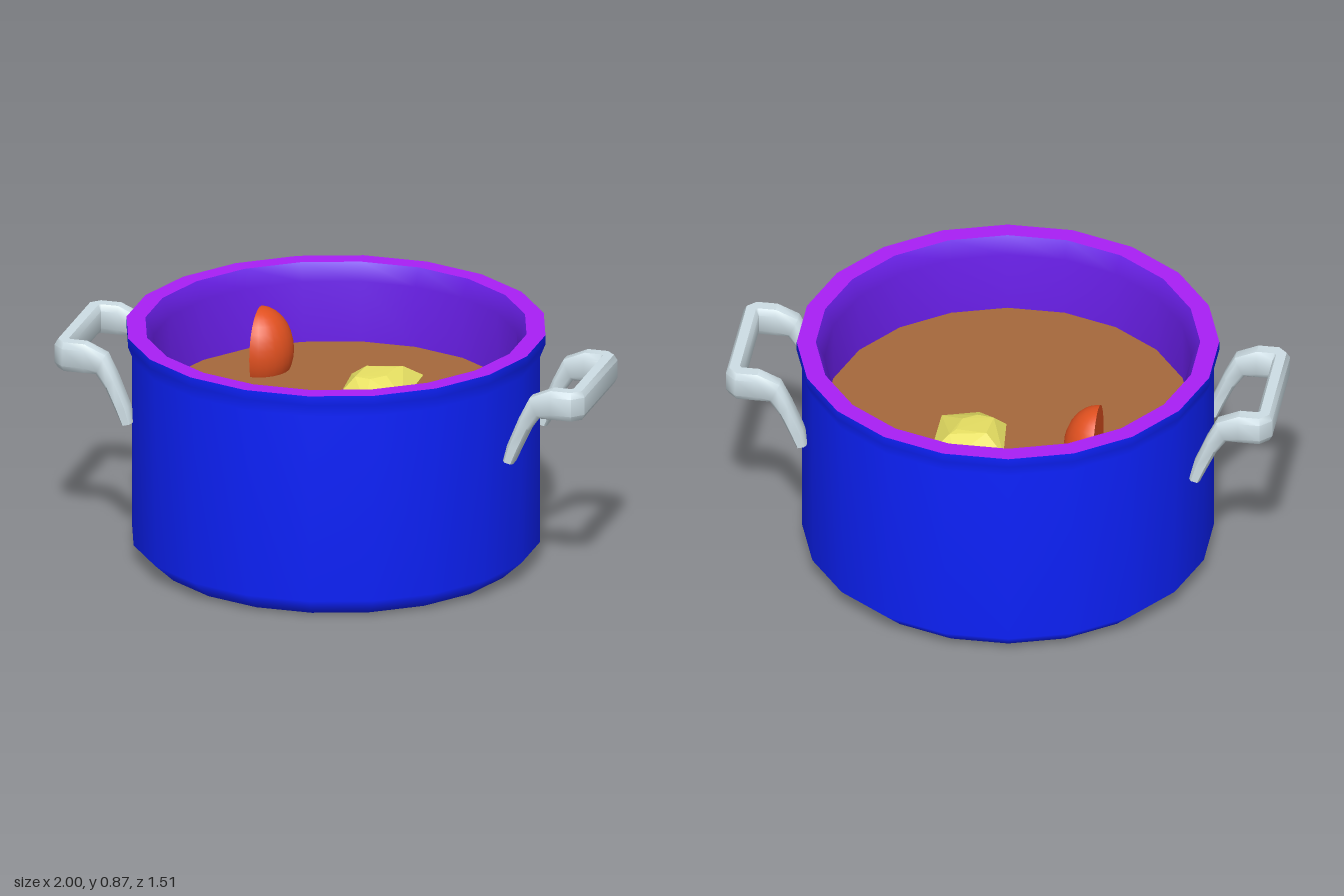
import * as THREE from 'three';
import { toCreasedNormals } from 'three/addons/utils/BufferGeometryUtils.js';
import { ConvexGeometry } from 'three/addons/geometries/ConvexGeometry.js';

const SIDES = 20;

function mesh(name, geometry, color, options = {}) {
  const m = new THREE.Mesh(geometry, new THREE.MeshStandardMaterial({ color, ...options }));
  m.name = name;
  return m;
}

// Turned shape with a flat side towards each axis
function turned(profile) {
  return new THREE.LatheGeometry(profile.map(p => new THREE.Vector2(...p)), SIDES, Math.PI / SIDES);
}

// Loft of bevelled rectangles along the U-shaped grip
function handleGeometry() {
  // One arm from the wall outwards: upper x, y and lower x, y
  const arm = [
    [0.70, 0.50, 0.738, 0.49], [0.715, 0.56, 0.765, 0.55], [0.76, 0.67, 0.80, 0.625],
    [0.80, 0.75, 0.835, 0.675], [0.88, 0.785, 0.88, 0.675],
  ].map(([ux, uy, lx, ly]) => ({
    c: new THREE.Vector3((ux + lx) / 2, (uy + ly) / 2, 0.215),
    a: new THREE.Vector3(0, 0, 0.035),
    u: new THREE.Vector3((ux - lx) / 2, (uy - ly) / 2, 0),
  }));
  // Cut corner: outer x, z around one inner point
  for (const [x, z] of [[0.96, 0.25], [1, 0.21]]) {
    arm.push({
      c: new THREE.Vector3((x + 0.94) / 2, 0.73, (z + 0.18) / 2),
      a: new THREE.Vector3((x - 0.94) / 2, 0, (z - 0.18) / 2),
      u: new THREE.Vector3(0, 0.055, 0),
    });
  }
  const flip = new THREE.Vector3(1, 1, -1);
  const mirrored = arm.map(s => ({
    c: s.c.clone().multiply(flip), a: s.a.clone().multiply(flip), u: s.u,
  })).reverse();
  const sections = [...arm, ...mirrored];

  const outline = [[1, -0.6], [1, 0.6], [0.6, 1], [-0.6, 1], [-1, 0.6], [-1, -0.6], [-0.6, -1], [0.6, -1]];
  const n = outline.length, last = sections.length - 1;
  const pos = [], index = [];
  for (const { c, a, u } of sections) {
    for (const [p, q] of outline) {
      pos.push(...c.clone().addScaledVector(a, p).addScaledVector(u, q).toArray());
    }
  }
  for (let i = 0; i < last; i++) {
    for (let j = 0; j < n; j++) {
      const k = (j + 1) % n, r = i * n, s = r + n;
      index.push(r + j, s + j, r + k, s + j, s + k, r + k);
    }
  }
  // End caps
  for (let j = 1; j < n - 1; j++) {
    index.push(0, j, j + 1, last * n, last * n + j + 1, last * n + j);
  }
  const g = new THREE.BufferGeometry();
  g.setAttribute('position', new THREE.Float32BufferAttribute(pos, 3));
  g.setIndex(index);
  return toCreasedNormals(g, 0.9);
}

export function createModel() {
  const model = new THREE.Group();
  model.name = 'cookingPot';

  // Pot shell: outside, lip and lining
  model.add(mesh('potBody', turned([
    [0, 0], [0.668, 0], [0.744, 0.07], [0.744, 0.78], [0.764, 0.83], [0.764, 0.865],
  ]), 0x0d22ff));
  model.add(mesh('rim', turned([[0.764, 0.865], [0.695, 0.865]]), 0xa81ff5));
  model.add(mesh('lining', turned([[0.695, 0.865], [0.664, 0.8], [0.664, 0.56]]), 0x6a1fea));

  // Soup surface
  const soup = new THREE.CircleGeometry(0.664, SIDES, Math.PI / SIDES).rotateX(-Math.PI / 2);
  soup.translate(0, 0.57, 0);
  model.add(mesh('soup', soup, 0xa5683c));

  // Two side handles
  const grip = handleGeometry();
  for (const side of ['left', 'right']) {
    const handle = mesh(side + 'Handle', grip, 0xcddde4);
    if (side === 'right') handle.rotation.y = Math.PI;
    model.add(handle);
  }

  // Carrot piece: half an ellipsoid with a flat cut
  const carrot = new THREE.Group();
  carrot.name = 'carrotPiece';
  carrot.add(mesh('carrotDome', new THREE.SphereGeometry(1, 12, 16, Math.PI / 2, Math.PI), 0xe0501f));
  carrot.add(mesh('carrotCut', new THREE.CircleGeometry(1, 32).rotateY(-Math.PI / 2), 0xe0501f));
  carrot.scale.set(0.125, 0.16, 0.13);
  carrot.position.set(-0.375, 0.64, -0.29);
  model.add(carrot);

  // Potato chunk: faceted lump sunk in the soup
  const chunk = [
    [-0.03, 0.575, -0.3], [0.14, 0.59, -0.365], [0.23, 0.585, -0.335], [0.23, 0.575, -0.08],
    [0.1, 0.57, -0.03], [-0.01, 0.575, -0.1],
    [0.04, 0.63, -0.25], [0.15, 0.635, -0.25], [0.17, 0.632, -0.28], [0.14, 0.63, -0.17],
    [0.09, 0.625, -0.13], [0.03, 0.625, -0.14],
    [0.03, 0.5, -0.26], [0.18, 0.5, -0.28], [0.17, 0.5, -0.12], [0.05, 0.5, -0.12],
  ].map(p => new THREE.Vector3(...p));
  model.add(mesh('potatoChunk', new ConvexGeometry(chunk), 0xe6df62, { flatShading: true }));

  return model;
}
